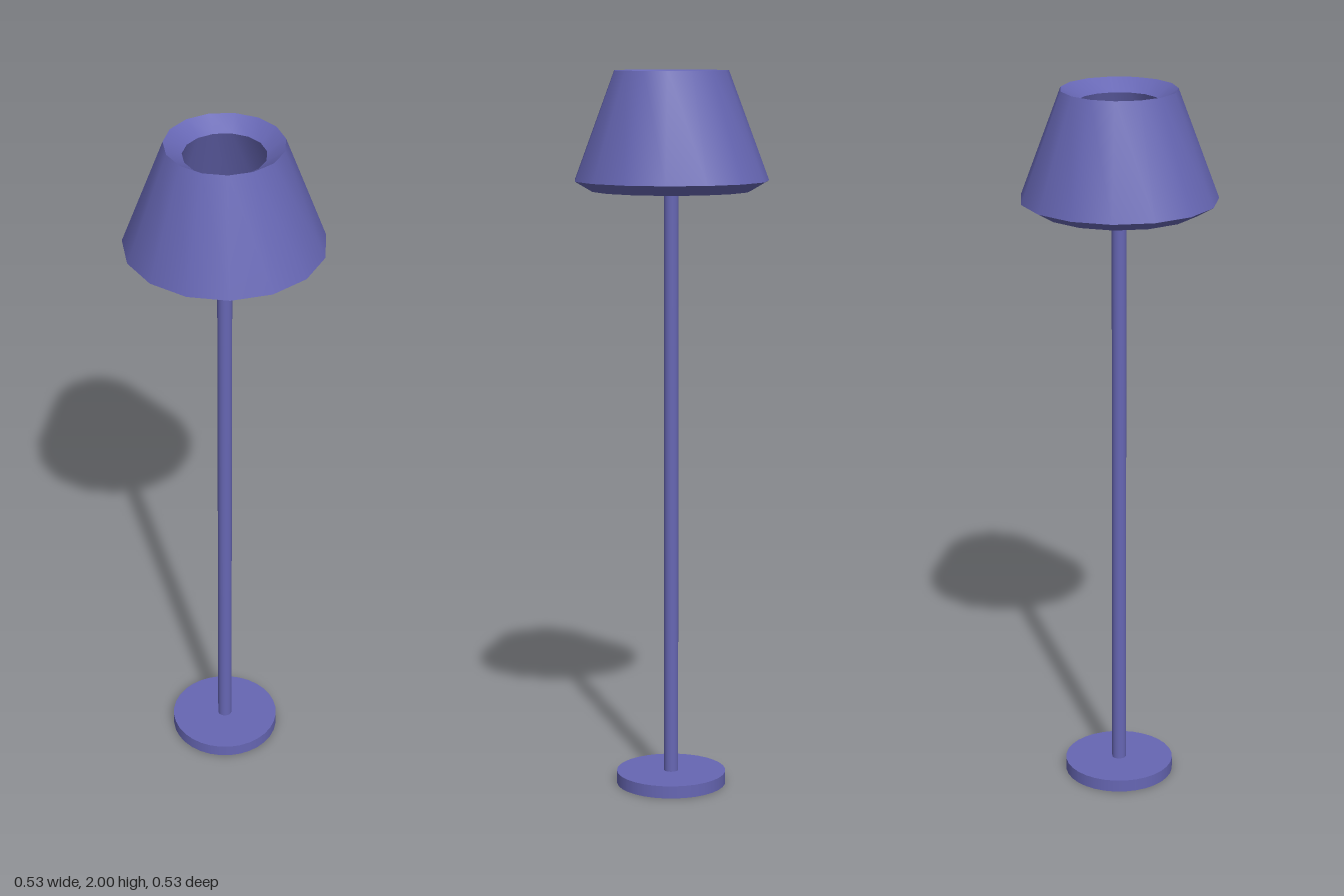
import * as THREE from 'three';
import { toCreasedNormals } from 'three/addons/utils/BufferGeometryUtils.js';

export function createModel() {
  const lamp = new THREE.Group();
  lamp.name = 'floorLamp';
  const material = new THREE.MeshStandardMaterial({ color: 0x6666b3 });
  const axisX = -0.004; // the 15-sided shade is a little wider on one side
  const shadeSides = 15;

  function add(name, geometry, y, mat = material) {
    const mesh = new THREE.Mesh(geometry, mat);
    mesh.name = name;
    mesh.position.set(axisX, y, 0);
    lamp.add(mesh);
    return mesh;
  }

  function rod(name, radius, bottom, top) {
    add(name, new THREE.CylinderGeometry(radius, radius, top - bottom, 32), (bottom + top) / 2);
  }

  // Round foot and slim pole
  rod('base', 0.154, 0, 0.035);
  rod('pole', 0.02, 0.03, 1.705);

  // Hollow thick-walled shade with slanted rims, a corner on the +x side
  const profile = [
    [0.22, 1.675], [0.268, 1.703], [0.157, 2], [0.109, 1.967], [0.22, 1.675],
  ].map(([r, y]) => new THREE.Vector2(r, y));
  const shade = new THREE.LatheGeometry(profile, shadeSides, Math.PI / 2);
  add('shade', toCreasedNormals(shade, 0.6), 0);

  // Thin plate inside the shade that joins it to the pole
  const plate = new THREE.CircleGeometry(0.213, shadeSides);
  plate.rotateX(-Math.PI / 2);
  const plateMaterial = material.clone();
  plateMaterial.side = THREE.DoubleSide;
  add('shadePlate', plate, 1.695, plateMaterial);

  return lamp;
}
